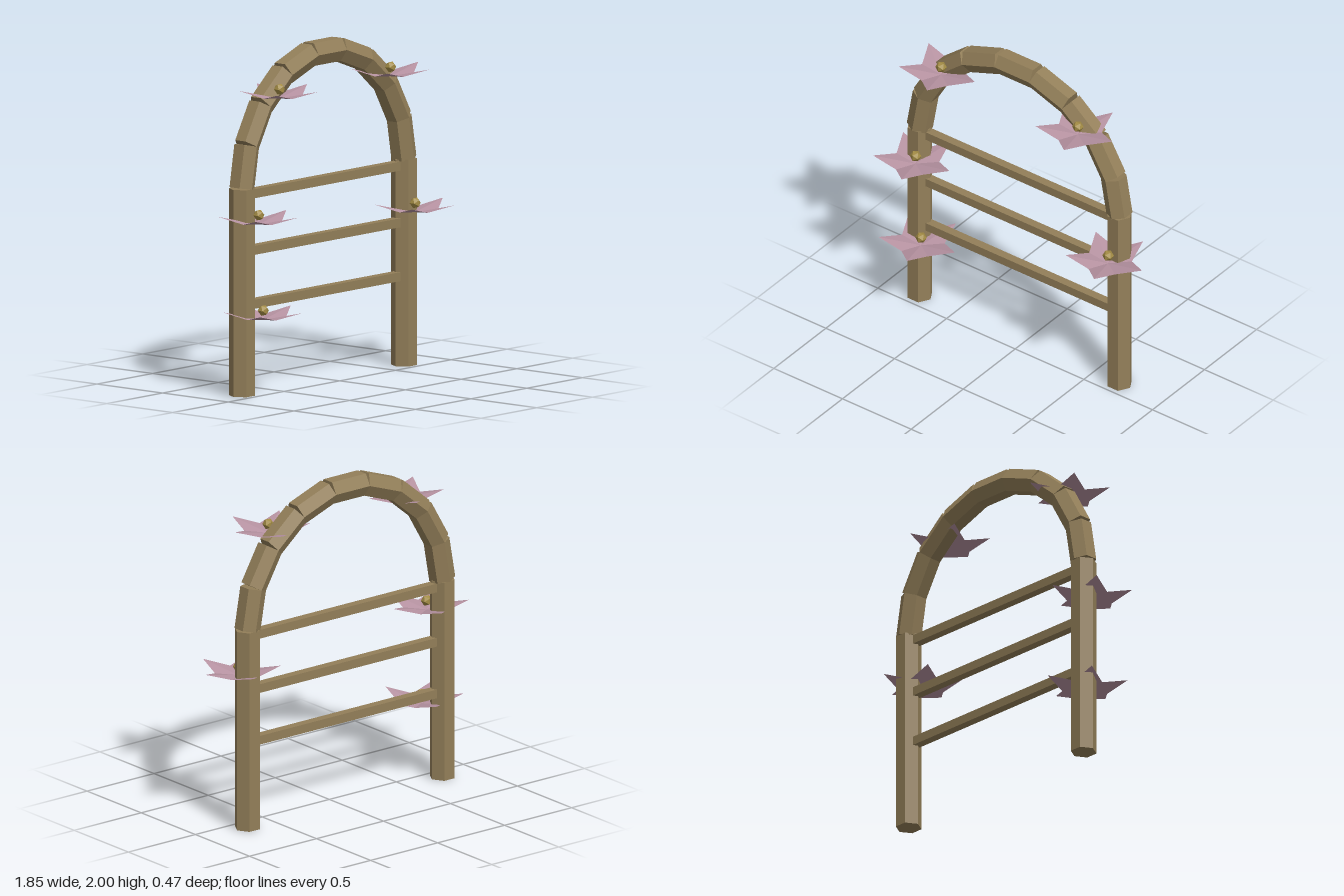
import * as THREE from 'three';

const wood = new THREE.MeshStandardMaterial({ color: 0x937f59, flatShading: true });
wood.name = 'wood';
const petal = new THREE.MeshStandardMaterial({ color: 0xb793a2, flatShading: true, side: THREE.DoubleSide });
petal.name = 'petalPink';
const pollen = new THREE.MeshStandardMaterial({ color: 0xa38c45, flatShading: true });
pollen.name = 'pollenYellow';

const MID_X = -0.039, Z = -0.095, SPAN = 0.727, POST_H = 1.217, R = 0.077;

function add(parent, name, geometry, material, x = 0, y = 0, z = 0) {
  const mesh = new THREE.Mesh(geometry, material);
  mesh.name = name;
  mesh.position.set(x, y, z);
  parent.add(mesh);
  return mesh;
}

// Five-pointed blossom: sunken centre, raised tips, a fold along each petal
function blossomGeometry() {
  const pos = [];
  const point = (i) => {
    const tip = i % 2 === 0, a = (i * Math.PI) / 5, r = tip ? 0.247 : 0.138;
    return [r * Math.cos(a), tip ? 0 : -0.04, r * Math.sin(a)];
  };
  for (let i = 0; i < 10; i++) pos.push(0, -0.055, 0, ...point(i + 1), ...point(i));
  const g = new THREE.BufferGeometry();
  g.setAttribute('position', new THREE.Float32BufferAttribute(pos, 3));
  g.computeVertexNormals();
  return g;
}

export function createModel() {
  const model = new THREE.Group();
  model.name = 'gardenArch';

  // Hexagonal posts with corners towards the sides
  const postGeo = new THREE.CylinderGeometry(R, R, POST_H, 6).rotateY(Math.PI / 2);
  for (const s of [-1, 1]) {
    add(model, s > 0 ? 'leftPost' : 'rightPost', postGeo, wood, MID_X + s * SPAN, POST_H / 2, Z);
  }

  // Half-round arch of nine straight hexagonal pieces
  const count = 9, step = Math.PI / count;
  const pieceGeo = new THREE.CylinderGeometry(R, R, 2 * SPAN * Math.sin(step / 2), 6);
  const mid = SPAN * Math.cos(step / 2);
  for (let i = 0; i < count; i++) {
    const a = (i + 0.5) * step;
    const piece = add(model, 'archPiece', pieceGeo, wood,
      MID_X + mid * Math.cos(a), POST_H + mid * Math.sin(a), Z);
    piece.rotation.z = a;
  }

  // Cross rails
  const railGeo = new THREE.BoxGeometry(1.338, 0.053, 0.053);
  for (const y of [0.528, 0.845, 1.178]) add(model, 'rail', railGeo, wood, MID_X + 0.002, y, Z);

  // Flowers
  const blossom = blossomGeometry();
  const centre = new THREE.IcosahedronGeometry(0.034, 0);
  const spots = [[-0.54, 1.783], [0.457, 1.79], [-0.726, 1.065], [0.677, 0.963], [-0.686, 0.499]];
  for (const [x, y] of spots) {
    const flower = new THREE.Group();
    flower.name = 'flower';
    flower.position.set(x, y, 0);
    add(flower, 'petals', blossom, petal);
    add(flower, 'flowerCentre', centre, pollen);
    model.add(flower);
  }
  return model;
}
